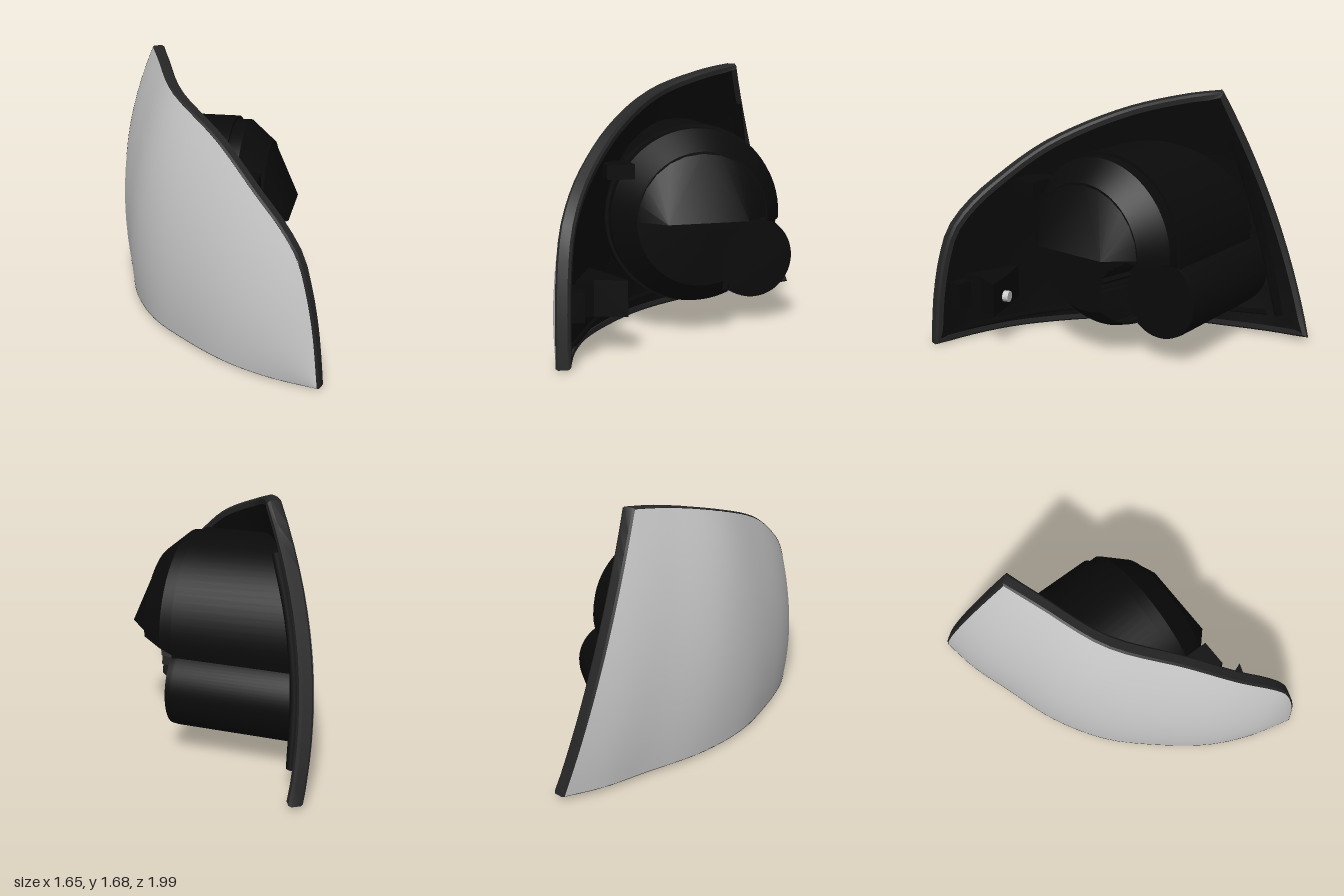
import * as THREE from 'three';
import { ParametricGeometry } from 'three/addons/geometries/ParametricGeometry.js';
import { ConvexGeometry } from 'three/addons/geometries/ConvexGeometry.js';
import { toCreasedNormals } from 'three/addons/utils/BufferGeometryUtils.js';

const V = (x, y, z) => new THREE.Vector3(x, y, z);
const curve = pts => new THREE.CatmullRomCurve3(pts.map(p => V(...p)), false, 'centripetal');
const mat = color => new THREE.MeshStandardMaterial({ color, side: THREE.DoubleSide });

// direction from lens to housing, turning from the rear corner to the front corner
function backDir(p) {
  const t = (p.x + p.z + 1.75) / 3.5;
  return V(0.8 - 0.45 * t, 0, -0.6 - 0.35 * t).normalize();
}

// lower and upper edges of the lens, from rear corner to front corner
const lower = curve([[-0.815, 0.045, -0.95], [-0.77, 0.04, -0.7], [-0.68, 0.04, -0.43], [-0.54, 0.035, -0.03],
  [-0.34, 0.03, 0.3], [-0.1, 0.03, 0.54], [0.22, 0.025, 0.785], [0.5, 0.02, 0.915], [0.795, 0.018, 0.993]]);
const upper = curve([[-0.5, 1.683, -0.42], [-0.41, 1.645, -0.2], [-0.23, 1.53, 0.19], [0.12, 1.33, 0.54], [0.38, 1.1, 0.765],
  [0.54, 0.945, 0.87], [0.652, 0.79, 0.935], [0.707, 0.62, 0.965], [0.757, 0.37, 0.985], [0.795, 0.018, 0.993]]);

// bowed sheet between the two edges, pushed back by depth, plus dish away from the edges
function sheetPoint(u, v, depth = 0, dish = 0) {
  const p = lower.getPointAt(u).lerp(upper.getPointAt(Math.pow(u, 1.5)), v);
  const bow = 4 * v * (1 - v);
  p.x -= 0.12 * bow * (1 - u);
  p.z += 0.27 * bow * u * (1 - u);
  return p.addScaledVector(backDir(p), depth + dish * bow * 4 * u * (1 - u));
}

function sheet(depth, dish) {
  const g = new ParametricGeometry((u, v, t) => t.copy(sheetPoint(u, v, depth, dish)), 32, 16);
  g.computeVertexNormals();
  return g;
}

// frame swept around the edge of the lens
function frameGeometry() {
  const loop = [], n = 28;
  for (let i = 0; i < n; i++) loop.push(lower.getPointAt(i / n));
  for (let i = 0; i < n; i++) loop.push(upper.getPointAt(1 - i / n));
  for (let i = 0; i < 14; i++) loop.push(sheetPoint(0, 1 - i / 14));
  const centre = V(-0.1, 0.7, 0.15);
  const section = [[-0.02, 0.012], [0, -0.002], [0.009, 0.012], [0.006, 0.07], [-0.008, 0.085], [-0.04, 0.085]];
  const pos = [], idx = [], m = section.length, count = loop.length;
  loop.forEach((p, i) => {
    const back = backDir(p);
    const tangent = loop[(i + 1) % count].clone().sub(loop[(i + count - 1) % count]).normalize();
    const out = V(0, 0, 0).crossVectors(tangent, back).normalize();
    if (out.dot(p.clone().sub(centre)) < 0) out.negate();
    for (const [o, b] of section) {
      const q = p.clone().addScaledVector(out, o).addScaledVector(back, b);
      pos.push(q.x, Math.max(0, q.y), q.z);
    }
    for (let j = 0; j < m; j++) {
      const a = i * m + j, b = i * m + (j + 1) % m;
      const c = ((i + 1) % count) * m + j, d = ((i + 1) % count) * m + (j + 1) % m;
      idx.push(a, b, c, b, d, c);
    }
  });
  const g = new THREE.BufferGeometry();
  g.setAttribute('position', new THREE.Float32BufferAttribute(pos, 3));
  g.setIndex(idx);
  return toCreasedNormals(g, 0.6);
}

export function createModel() {
  const group = new THREE.Group();
  const lensMat = mat(0xcccccc), frameMat = mat(0x262626), bodyMat = mat(0x0a0a0a);
  const add = (name, geometry, material) => {
    const mesh = new THREE.Mesh(geometry, material);
    mesh.name = name;
    group.add(mesh);
    return mesh;
  };

  add('lens', sheet(0, 0), lensMat);
  add('frame', frameGeometry(), frameMat);
  add('backPlate', sheet(0.07, 0.04), bodyMat);

  // nearest x of the back plate at a given height and depth
  const samples = [];
  for (let i = 0; i <= 50; i++) for (let j = 0; j <= 50; j++) samples.push(sheetPoint(i / 50, j / 50, 0.06, 0.04));
  const plateX = (y, z) => {
    let best = Infinity, x = 0;
    for (const s of samples) {
      const d = (s.y - y) ** 2 + (s.z - z) ** 2;
      if (d < best) { best = d; x = s.x; }
    }
    return x;
  };

  // round lamp bowl along +x whose open rim follows the back plate;
  // where it overlaps the notch circle it is sunk to the notch floor
  function bowl(name, y, z, profile, notch) {
    const pts = [new THREE.Vector2(profile[0][0], -9)];
    profile.forEach(([r, x], i) => {
      const [r0, x0] = profile[Math.max(0, i - 1)];
      const steps = Math.max(1, Math.ceil(Math.hypot(r - r0, x - x0) / 0.03));
      for (let k = 1; k <= steps; k++) pts.push(new THREE.Vector2(r0 + (r - r0) * k / steps, x0 + (x - x0) * k / steps));
    });
    const g = new THREE.LatheGeometry(pts, 80);
    g.rotateZ(-Math.PI / 2);
    g.translate(0, y, z);
    const p = g.attributes.position;
    for (let i = 0; i < p.count; i++) {
      const py = p.getY(i), pz = p.getZ(i), base = plateX(py, pz);
      if (p.getX(i) < base) p.setX(i, base);
      if (notch && Math.hypot(py - notch.y, pz - notch.z) < notch.r) p.setX(i, Math.min(p.getX(i), notch.x));
    }
    add(name, toCreasedNormals(g, 0.6), bodyMat);
  }
  const notch = { x: 0.13, y: 0.45, z: -0.41, r: 0.27 };
  bowl('mainBowl', 0.76, 0, [[0.57, 0.14], [0.55, 0.14], [0.55, 0.22], [0.42, 0.375], [0, 0.385]], notch);
  bowl('smallBowl', notch.y, notch.z, [[0.27, 0.1], [0.265, 0.14], [0, 0.14]]);

  // half hood over the upper part of the main bowl, with a flat underside
  const hood = [V(0.52, 0.76, -0.25), V(0.52, 0.76, 0.26)];
  for (let i = 0; i <= 12; i++) {
    const a = Math.PI * i / 12;
    hood.push(V(0.37, 0.76 + 0.42 * Math.sin(a), 0.42 * Math.cos(a)));
  }
  add('bowlHood', toCreasedNormals(new ConvexGeometry(hood), 0.5), bodyMat);

  const block = (name, size, at) => add(name, new THREE.BoxGeometry(...size), bodyMat).position.set(...at);
  block('bowlTab', [0.22, 0.09, 0.17], [0.26, 1.07, 0.515]);
  block('mountPad', [0.2, 0.18, 0.08], [0.6, 0.34, 0.845]);

  // wedge bracket with adjuster screw
  const wedge = new THREE.Shape([[0.4, -0.63], [0.65, -0.54], [0.58, -0.73], [0.6, -0.84], [0.25, -0.7]].map(p => new THREE.Vector2(...p)));
  const bracket = new THREE.ExtrudeGeometry(wedge, { depth: 0.22, bevelEnabled: false });
  bracket.rotateX(-Math.PI / 2);
  bracket.translate(0, 0.25, 0);
  add('bracket', bracket, bodyMat);
  const screw = add('adjusterScrew', new THREE.CylinderGeometry(0.037, 0.037, 0.05, 12), lensMat);
  screw.position.set(0.49, 0.34, 0.582);
  screw.quaternion.setFromUnitVectors(V(0, 1, 0), V(-0.34, 0, -0.94).normalize());

  // stiffening ribs on the back plate, given as stations along and up the sheet
  const rib = (name, depth, radius, stations) => {
    const path = curve(stations.map(([u, v]) => sheetPoint(u, v, depth, 0.04).toArray()));
    add(name, new THREE.TubeGeometry(path, 16, radius, 4), bodyMat);
  };
  rib('rearRib', 0.11, 0.035, [[0.07, 0.08], [0.07, 0.35], [0.07, 0.6], [0.07, 0.83]]);
  rib('lowerRib', 0.08, 0.02, [[0.1, 0.08], [0.35, 0.07], [0.65, 0.08], [0.9, 0.15]]);

  return group;
}
